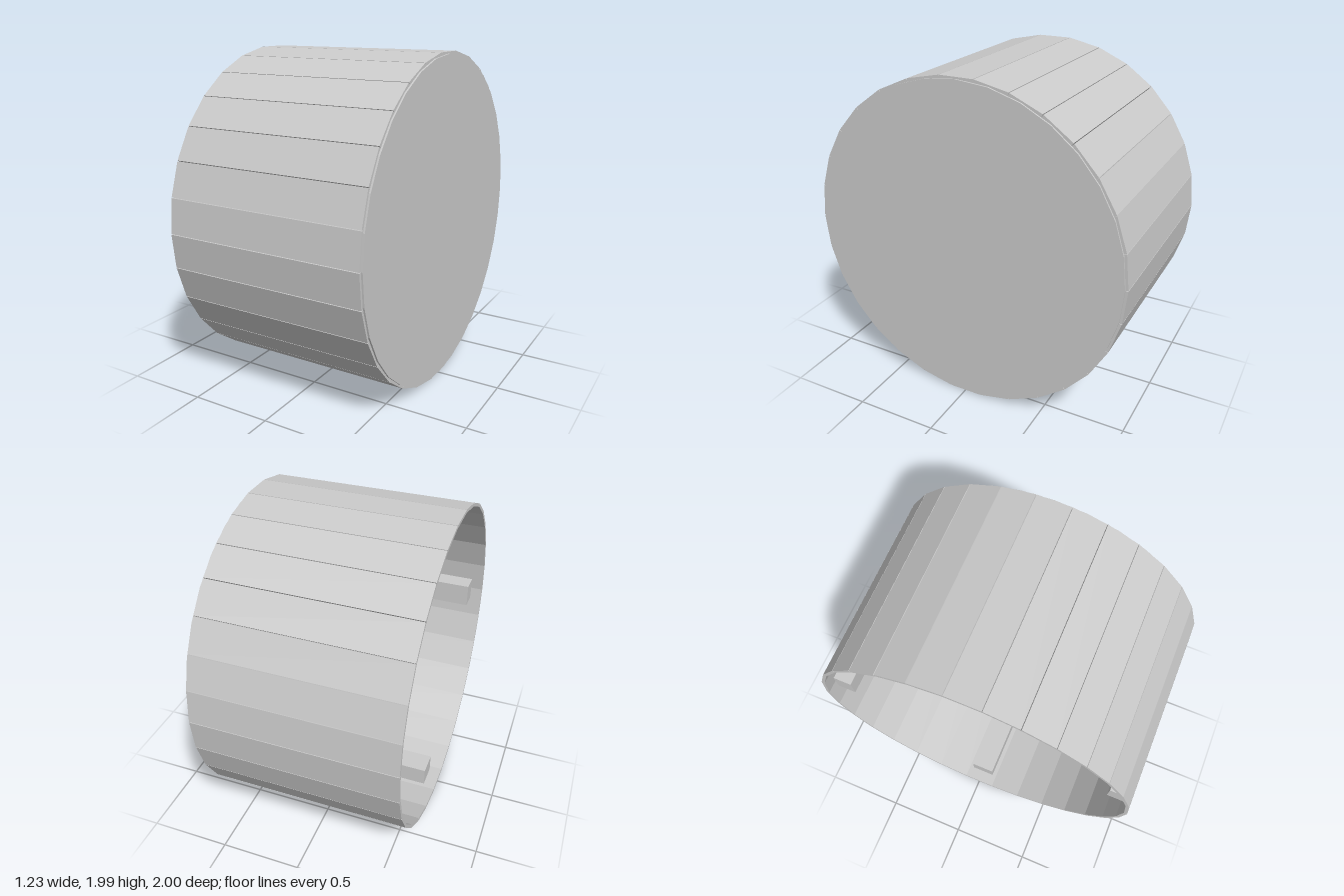
import * as THREE from 'three';

export function createModel() {
  const model = new THREE.Group();
  const material = new THREE.MeshStandardMaterial({ color: 0xcccccc, flatShading: true });
  const sides = 30;
  const outer = 0.995; // distance from the axis to a slat's outer face
  const thickness = 0.02;
  const inner = outer - thickness;
  const drum = new THREE.Group();
  drum.name = 'drum';
  drum.position.y = outer;
  model.add(drum);

  // Box running along x from x0 to x1, placed around the axis at an angle
  function addBar(name, x0, x1, radius, depth, width, angle) {
    const bar = new THREE.Mesh(new THREE.BoxGeometry(x1 - x0, depth, width), material);
    bar.name = name;
    bar.position.set((x0 + x1) / 2, radius * Math.cos(angle), radius * Math.sin(angle));
    bar.rotation.x = angle;
    drum.add(bar);
  }

  // Wall of flat slats: they meet on the inside and leave fine grooves outside
  const slatWidth = 2 * inner * Math.tan(Math.PI / sides);
  for (let i = 0; i < sides; i++) {
    addBar('slat', -0.617, 0.607, outer - thickness / 2, thickness, slatWidth, (i / sides) * Math.PI * 2);
  }

  // Four square posts inside the wall, stopping short of the open end
  for (let i = 0; i < 4; i++) {
    addBar('innerPost', -0.54, 0.6, inner - 0.06, 0.12, 0.15, (i * Math.PI) / 2);
  }

  // Disc closing the +x end
  const lid = new THREE.Mesh(new THREE.CylinderGeometry(0.985, 0.985, 0.02, 32), material);
  lid.name = 'lid';
  lid.rotation.z = -Math.PI / 2;
  lid.position.x = 0.607;
  drum.add(lid);

  return model;
}
